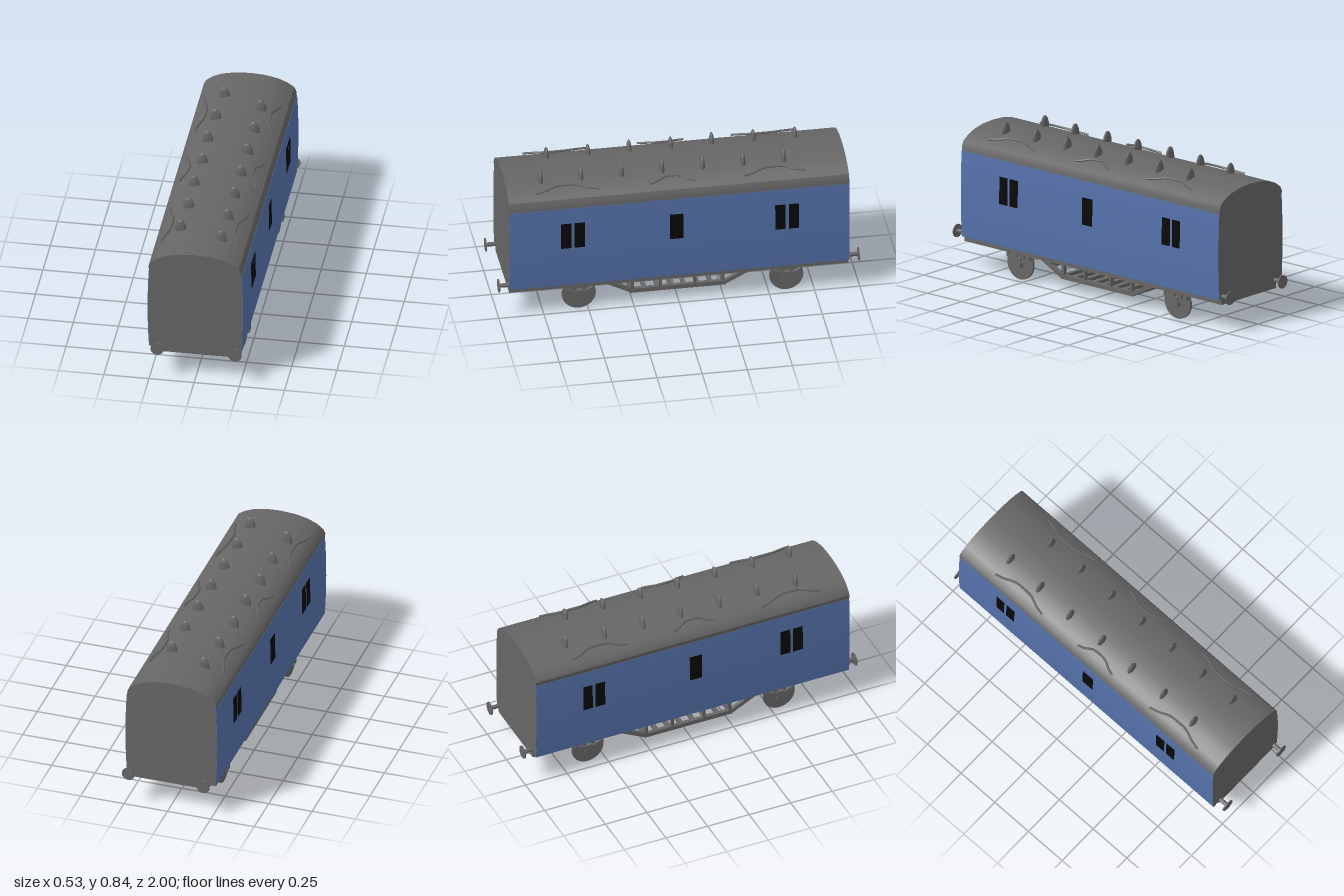
import * as THREE from 'three';
import { toCreasedNormals } from 'three/addons/utils/BufferGeometryUtils.js';

export function createModel() {
  const root = new THREE.Group();
  root.name = 'railwayVan';
  const mat = (name, color) => {
    const m = new THREE.MeshStandardMaterial({ color });
    m.name = name;
    return m;
  };
  const grey = mat('grey', 0x666666);
  const blue = mat('blue', 0x5572ab);
  const black = mat('black', 0x080808);

  const add = (name, geo, material, x = 0, y = 0, z = 0) => {
    const mesh = new THREE.Mesh(geo, material);
    mesh.name = name;
    mesh.position.set(x, y, z);
    root.add(mesh);
    return mesh;
  };
  const box = (name, w, h, d, x, y, z) => add(name, new THREE.BoxGeometry(w, h, d), grey, x, y, z);
  // Extrudes an (x, y) outline from z0 to z1
  const prism = (pts, z0, z1) => {
    const shape = new THREE.Shape(pts.map(p => new THREE.Vector2(...p)));
    const g = new THREE.ExtrudeGeometry(shape, { depth: z1 - z0, bevelEnabled: false });
    return toCreasedNormals(g.translate(0, 0, z0), 0.5);
  };
  // Bar of rectangular section between two (y, z) points at a given x
  const bar = (name, x, w, h, a, b) => {
    const dy = b[0] - a[0], dz = b[1] - a[1];
    const m = box(name, w, h, Math.hypot(dy, dz), x, (a[0] + b[0]) / 2, (a[1] + b[1]) / 2);
    m.rotation.x = -Math.atan2(dy, dz);
    return m;
  };

  // Gently bulging side wall
  const BASE = 0.178, EAVE = 0.667;
  const sideX = (s, y) => -0.003 + s * (0.2645 - 0.008 * ((y - 0.43) / 0.25) ** 2);
  const sidePoints = (s, y0, y1, off, n = 8) =>
    Array.from({ length: n + 1 }, (_, i) => {
      const y = y0 + (y1 - y0) * i / n;
      return [sideX(s, y) + s * off, y];
    });
  const panel = (name, s, y0, y1, z0, z1, off, material) => {
    const outer = sidePoints(s, y0, y1, off), inner = sidePoints(s, y0, y1, off - 0.004);
    add(name, prism([...outer, ...inner.reverse()], z0, z1), material);
  };

  // Body shell with arched roof
  const roof = [
    [0.249, 0.695], [0.238, 0.72], [0.2, 0.746], [0.15, 0.767], [0.08, 0.782], [-0.005, 0.787],
    [-0.09, 0.782], [-0.16, 0.767], [-0.21, 0.746], [-0.25, 0.716], [-0.262, 0.692],
  ];
  add('bodyShell', prism([
    ...sidePoints(1, BASE, EAVE, -0.002), ...roof, ...sidePoints(-1, BASE, EAVE, -0.002).reverse(),
  ], -0.942, 0.942), grey);

  // Painted sides and dark windows
  const windows = [[0.6, 0.658], [0.525, 0.583], [-0.02, 0.053], [-0.587, -0.53], [-0.66, -0.605]];
  for (const s of [1, -1]) {
    panel('sidePanel', s, BASE, EAVE, -0.941, 0.941, 0, blue);
    for (const [z0, z1] of windows) panel('window', s, 0.42, 0.574, z0, z1, 0.0025, black);
  }

  // Roof ventilators, staggered along both sides
  const dome = new THREE.SphereGeometry(1, 20, 10, 0, Math.PI * 2, 0, Math.PI / 2).scale(0.033, 0.068, 0.014);
  for (let i = 0; i < 7; i++) {
    add('roofVent', dome, grey, i % 2 ? -0.12 : (i ? -0.128 : -0.109), 0.768, -0.7 + i * 0.229);
    add('roofVent', dome, grey, 0.107, 0.768, -0.6 + i * 0.2245);
  }

  // Curved rain strips above the doors
  for (const s of [1, -1]) {
    for (const [z0, z1] of [[-0.71, -0.365], [-0.1, 0.155], [0.435, 0.79]]) {
      const path = new THREE.CatmullRomCurve3(
        [[0, 0], [0.15, 0.3], [0.33, 0.9], [0.5, 1], [0.67, 0.9], [0.85, 0.3], [1, 0]].map(([t, k]) =>
          new THREE.Vector3(-0.008 + s * (0.214 - 0.038 * k), 0.75 + 0.019 * k, z0 + (z1 - z0) * t)));
      add('rainStrip', new THREE.TubeGeometry(path, 24, 0.0065, 6), grey);
    }
  }

  // Underframe: solebars, end beams and cross member
  const CX = 0.009;
  for (const s of [1, -1]) {
    box('solebar', 0.03, 0.034, 1.88, CX + s * 0.208, 0.164, 0);
    box('endBeam', 0.446, 0.034, 0.025, CX, 0.164, s * 0.9275);
  }
  box('crossMember', 0.4, 0.02, 0.025, CX, 0.17, -0.8);
  box('crossMember', 0.4, 0.02, 0.025, CX, 0.17, -0.68);

  // Buffers
  for (const x of [-0.205, 0.226]) {
    for (const s of [1, -1]) {
      const shaft = add('bufferShaft', new THREE.CylinderGeometry(0.012, 0.012, 0.06, 16), grey, x, 0.195, s * 0.967);
      const head = add('bufferHead', new THREE.CylinderGeometry(0.037, 0.037, 0.006, 28), grey, x, 0.195, s * 0.997);
      shaft.rotation.x = head.rotation.x = Math.PI / 2;
    }
  }

  // Wheels with axleboxes, springs and hangers
  for (const z of [0.55, -0.6]) {
    for (const s of [1, -1]) {
      const wheel = add('wheel', new THREE.CylinderGeometry(0.094, 0.094, 0.013, 40), grey, CX + s * 0.197, 0.094, z);
      wheel.rotation.z = Math.PI / 2;
      const x = CX + s * 0.214;
      box('axlebox', 0.028, 0.05, 0.042, x, 0.1, z);
      box('axleGuard', 0.012, 0.07, 0.022, x - s * 0.004, 0.14, z - 0.025);
      box('axleGuard', 0.012, 0.07, 0.022, x - s * 0.004, 0.14, z + 0.025);
      for (const e of [1, -1]) {
        bar('leafSpring', x, 0.02, 0.016, [0.102, z + e * 0.015], [0.132, z + e * 0.08]);
        box('springHanger', 0.018, 0.04, 0.012, x, 0.143, z + e * 0.078);
      }
    }
  }

  // Truss frames under the floor
  for (const x of [-0.195, 0.19]) {
    bar('trussBottom', x, 0.022, 0.025, [0.07, -0.265], [0.07, 0.265]);
    for (const e of [1, -1]) {
      bar('trussSlope', x, 0.022, 0.022, [0.072, e * 0.26], [0.162, e * 0.435]);
      for (const [z, y0] of [[0.095, 0.07], [0.25, 0.07], [0.345, 0.115]]) {
        box('trussPost', 0.02, 0.18 - y0, 0.016, x, (0.18 + y0) / 2, e * z);
      }
    }
  }
  // Cross bars joining the trusses
  for (let i = 0; i < 8; i++) box('trussCrossBar', 0.38, 0.02, 0.022, -0.002, 0.07, -0.255 + i * 0.073);
  for (const e of [1, -1]) box('trussCrossBar', 0.38, 0.02, 0.022, -0.002, 0.115, e * 0.345);

  return root;
}
